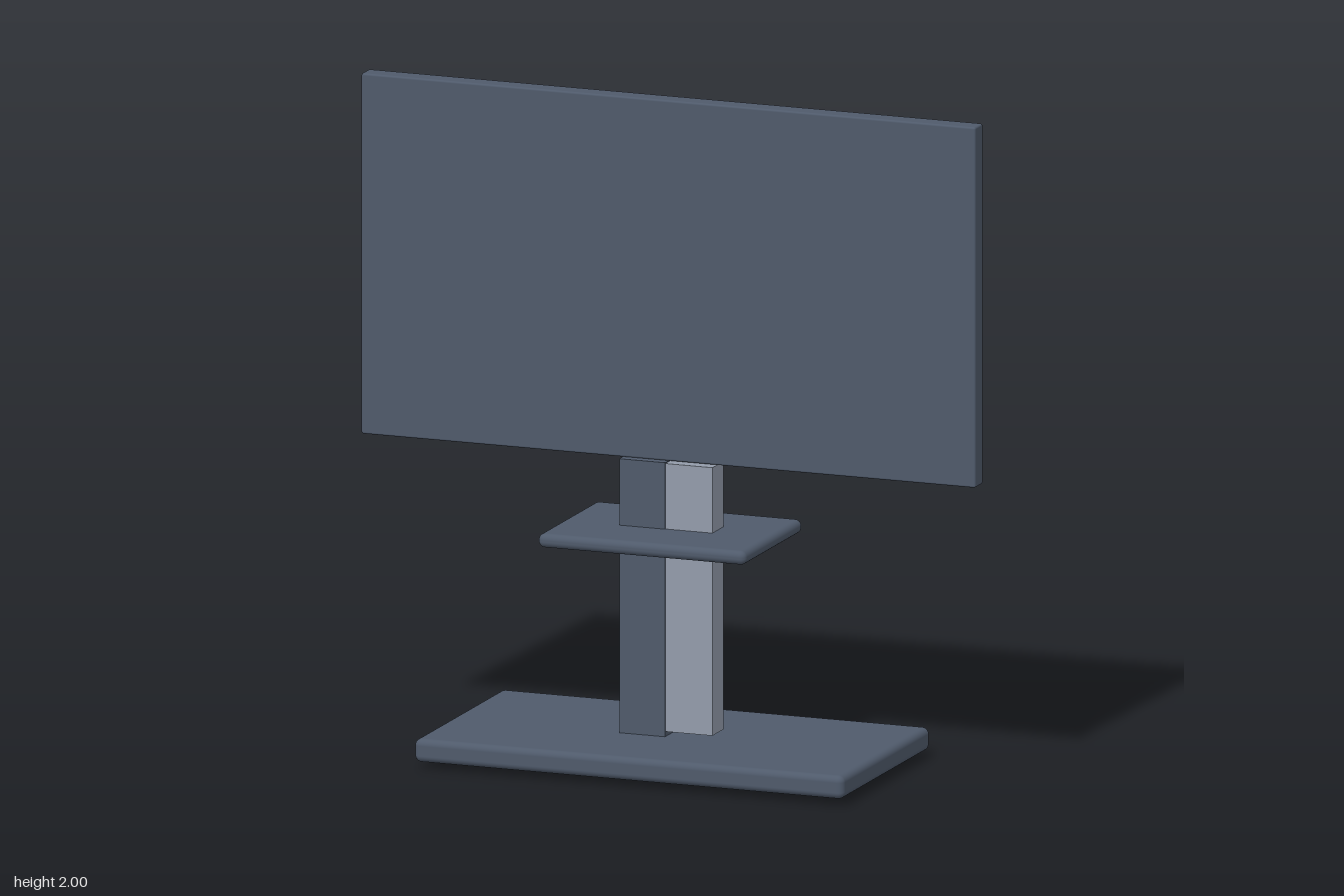
import * as THREE from 'three';
import { RoundedBoxGeometry } from 'three/addons/geometries/RoundedBoxGeometry.js';

const dark = new THREE.MeshStandardMaterial({ color: 0x4f5a6b });
const light = new THREE.MeshStandardMaterial({ color: 0x939cab });
const black = new THREE.MeshStandardMaterial({ color: 0x14161a });

// Box given by its extents on each axis; radius > 0 rounds the edges
function block(name, [x0, x1], [y0, y1], [z0, z1], radius, material) {
  const size = [x1 - x0, y1 - y0, z1 - z0];
  const geometry = radius > 0
    ? new RoundedBoxGeometry(...size, 4, radius)
    : new THREE.BoxGeometry(...size);
  const mesh = new THREE.Mesh(geometry, material);
  mesh.name = name;
  mesh.position.set((x0 + x1) / 2, (y0 + y1) / 2, (z0 + z1) / 2);
  return mesh;
}

export function createModel() {
  const model = new THREE.Group();
  model.name = 'screenStand';

  model.add(
    // Flat display panel
    block('screen', [-0.967, 0.967], [0.915, 2], [-0.031, 0.031], 0.006, dark),
    // Two upright halves of the column, the light one shallower
    block('darkColumn', [-0.144, 0], [0.085, 0.915], [-0.083, 0.056], 0, dark),
    block('lightColumn', [0, 0.148], [0.105, 0.912], [-0.038, 0.053], 0, light),
    // Equipment shelf and floor plate
    block('shelf', [-0.327, 0.327], [0.673, 0.715], [-0.219, 0.25], 0.019, dark),
    block('base', [-0.676, 0.676], [0.02, 0.09], [-0.353, 0.353], 0.02, dark)
  );

  // Narrow feet, flattened discs standing on edge under the base
  const footGeometry = new THREE.CylinderGeometry(1, 1, 0.02, 32)
    .rotateZ(Math.PI / 2)
    .scale(1, 0.025, 0.054);
  for (const x of [-0.57, 0.57]) {
    for (const z of [-0.242, 0.242]) {
      const foot = new THREE.Mesh(footGeometry, black);
      foot.name = 'foot';
      foot.position.set(x, 0.025, z);
      model.add(foot);
    }
  }
  return model;
}
